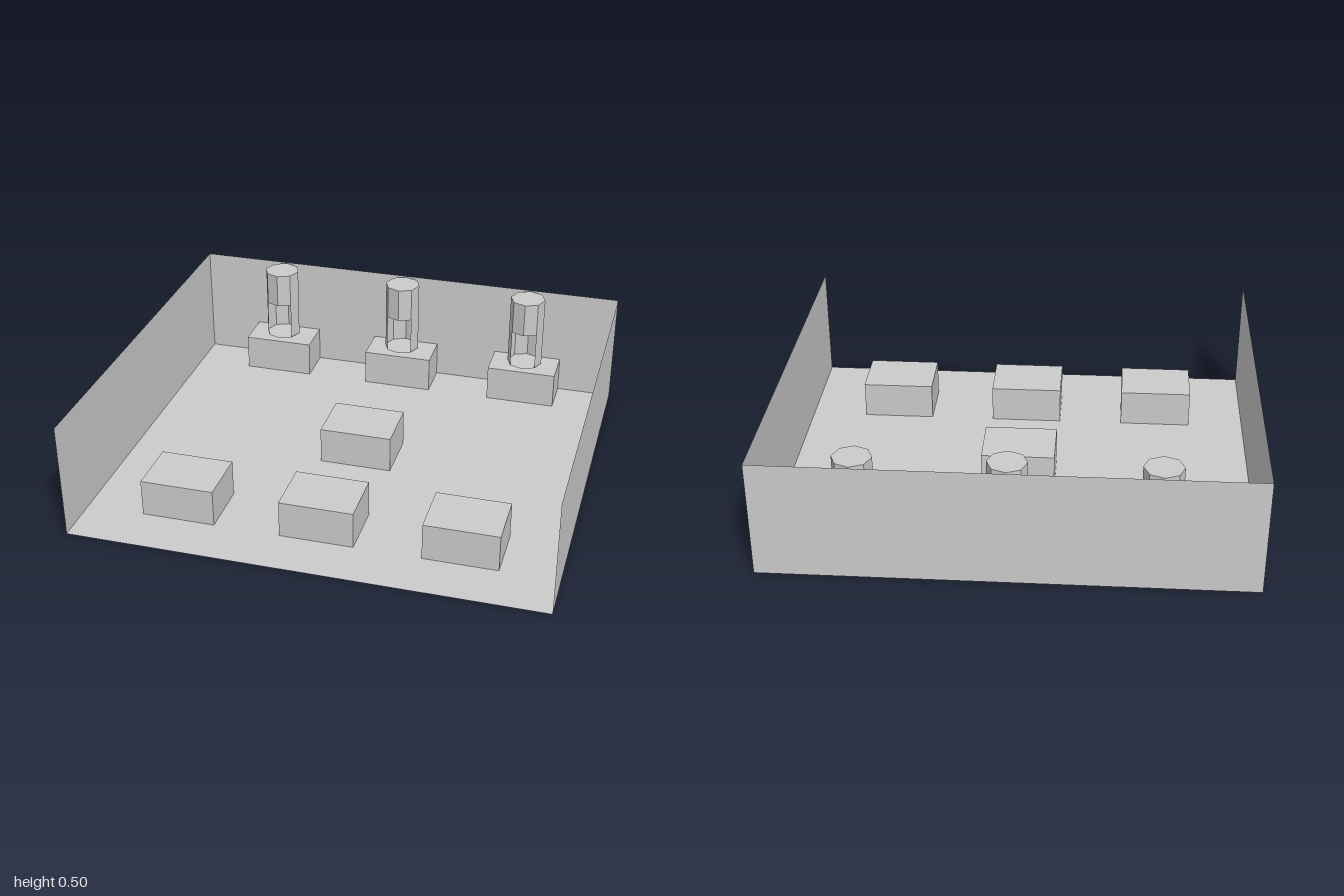
import * as THREE from 'three';

const grey = new THREE.MeshStandardMaterial({ color: 0xcccccc, flatShading: true, side: THREE.DoubleSide });

function add(parent, name, geometry, x = 0, y = 0, z = 0) {
  const mesh = new THREE.Mesh(geometry, grey);
  mesh.name = name;
  mesh.position.set(x, y, z);
  parent.add(mesh);
  return mesh;
}

// Eight-sided hollow pillar with a slot in the lower front
function makePillar() {
  const r = 0.08, bottom = 0.173, slotTop = 0.345, top = 0.5;
  const pillar = new THREE.Group();
  pillar.name = 'pillar';
  add(pillar, 'pillarUpper', new THREE.CylinderGeometry(r, r, top - slotTop, 8, 1, true), 0, (top + slotTop) / 2);
  add(pillar, 'pillarLower',
    new THREE.CylinderGeometry(r, r, slotTop - bottom, 6, 1, true, Math.PI / 4, Math.PI * 1.5),
    0, (slotTop + bottom) / 2);
  for (const [name, y] of [['pillarCap', top], ['pillarBase', bottom]]) {
    add(pillar, name, new THREE.CircleGeometry(r, 8).rotateX(-Math.PI / 2), 0, y);
  }
  return pillar;
}

export function createModel() {
  const model = new THREE.Group();
  model.name = 'openTray';
  const halfDepth = 0.873, wallHeight = 0.5, blockHeight = 0.16, blockWidth = 0.314;

  // Thin floor and three walls, open at the front
  add(model, 'floor', new THREE.PlaneGeometry(2, halfDepth * 2).rotateX(-Math.PI / 2));
  add(model, 'backWall', new THREE.PlaneGeometry(2, wallHeight), 0, wallHeight / 2, -halfDepth);
  for (const side of [-1, 1]) {
    add(model, side > 0 ? 'leftWall' : 'rightWall',
      new THREE.PlaneGeometry(halfDepth * 2, wallHeight).rotateY(side * Math.PI / 2),
      side, wallHeight / 2, 0);
  }

  // Blocks on the floor: a front row, one in the middle, a back row carrying pillars
  const block = (name, x, z, depth) =>
    add(model, name, new THREE.BoxGeometry(blockWidth, blockHeight, depth), x, blockHeight / 2, z);
  block('middleBlock', 0, -0.065, 0.245);
  for (const x of [-0.597, 0, 0.597]) {
    block('frontBlock', x, 0.532, 0.245);
    block('backBlock', x, -0.782, 0.175);
    const pillar = makePillar();
    pillar.position.set(x, 0, -0.783);
    model.add(pillar);
  }
  return model;
}
